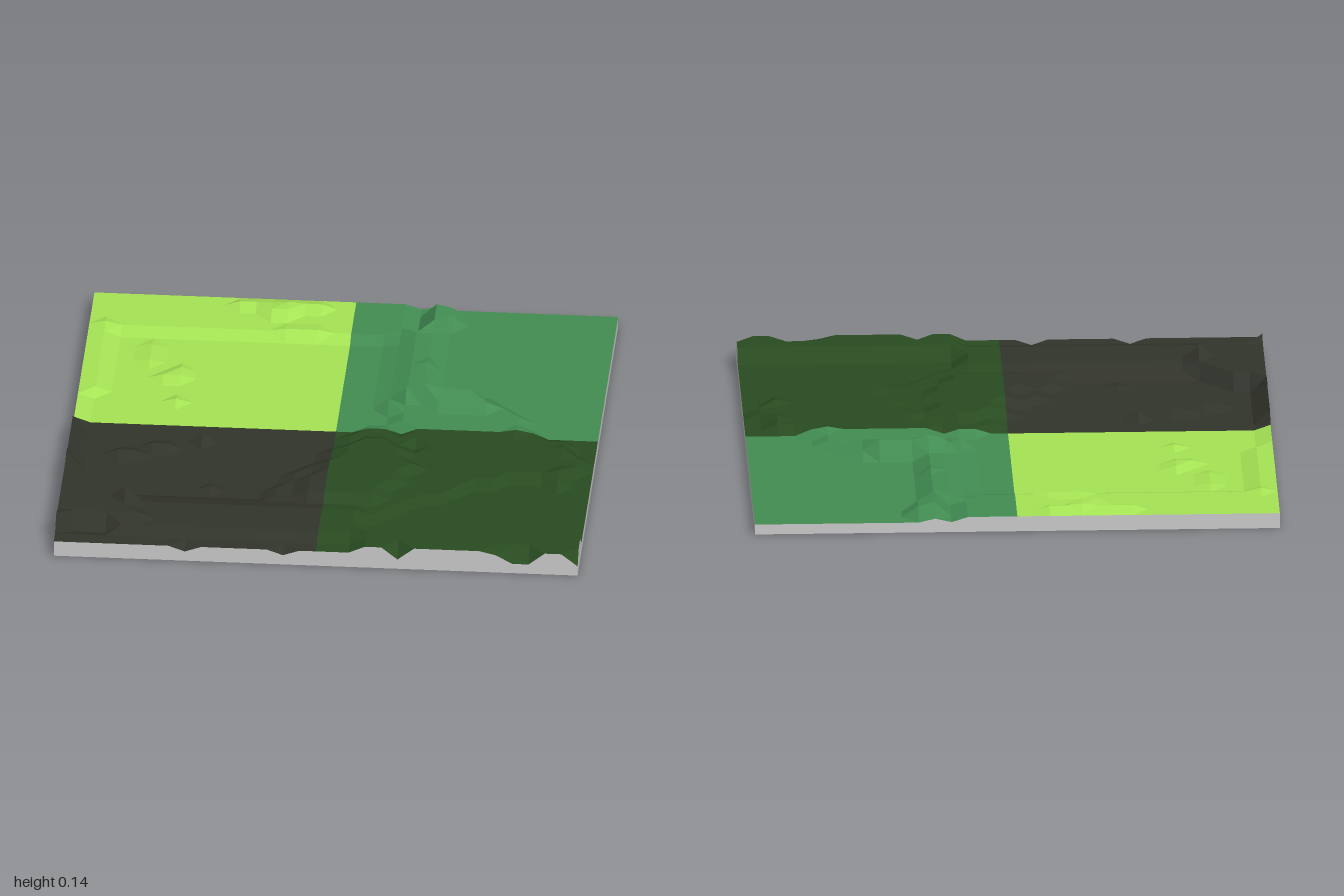
import * as THREE from 'three';

const N = 32, HX = 1, HZ = 0.985;
const X = (i) => -HX + (2 * HX * i) / N;
const Z = (j) => -HZ + (2 * HZ * j) / N;
const FLOOR = 0.04;
const heights = Array.from({ length: N + 1 }, () => new Array(N + 1).fill(FLOOR));

// Set every grid point inside an outline of [x, z] corners
function plateau(h, outline) {
  for (let j = 0; j <= N; j++) {
    for (let i = 0; i <= N; i++) {
      let hit = false;
      outline.forEach(([ax, az], k) => {
        const [bx, bz] = outline[(k + 1) % outline.length];
        if (az > Z(j) !== bz > Z(j) && X(i) < ax + ((Z(j) - az) * (bx - ax)) / (bz - az)) hit = !hit;
      });
      if (hit) heights[j][i] = h;
    }
  }
}

const strip = (h, x0, x1, z0, z1) => plateau(h, [[x0, z0], [x1, z0], [x1, z1], [x0, z1]]);

// Set the grid points along a line, or one point when the end is left out
function ridge(h, x0, z0, x1 = x0, z1 = z0) {
  for (let k = 0; k <= N; k++) {
    const x = x0 + ((x1 - x0) * k) / N, z = z0 + ((z1 - z0) * k) / N;
    heights[Math.round(((z + HZ) / (2 * HZ)) * N)][Math.round(((x + HX) / (2 * HX)) * N)] = h;
  }
}

function shapeMeadow() {
  strip(0.06, -1.1, 0.22, -1, -0.72); // back strip
  strip(0.062, -1.1, -0.92, -0.76, -0.2); // side rim
  strip(0.062, -1.1, -0.97, -0.2, 0.42);
  ridge(0.08, -0.44, -0.92, -0.12, -0.92); // back bumps
  ridge(0.087, -0.31, -0.86, -0.25, -0.92);
  ridge(0.07, -0.25, -0.74, -0.12, -0.74);
  ridge(0.075, -0.94, -0.74);
  ridge(0.057, -0.69, -0.37, -0.62, -0.43); // small mounds
  ridge(0.05, -0.75, -0.49, -0.75, -0.62);
  ridge(0.055, -0.62, -0.18);
}

function shapeTeal() {
  strip(0.055, 0.15, 0.22, -0.76, -0.2); // slope beside the ridge
  strip(0.075, 0.22, 0.34, -0.76, -0.2);
  ridge(0.1, 0.31, -0.92, 0.31, -0.8);
  ridge(0.085, 0.37, -0.92, 0.37, -0.86);
  ridge(0.055, 0.31, -0.985);
  ridge(0.085, 0.31, -0.5);
}

function shapeForest() {
  plateau(0.06, [[-0.22, 0.5], [-0.02, 0.2], [0.03, 0.03], [0.2, -0.03], [0.36, 0.2], [0.5, 0.45],
    [0.2, 0.68], [-0.22, 0.68]]); // foot of the rise
  plateau(0.085, [[-0.1, 0.48], [0.1, 0.1], [0.22, 0.1], [0.34, 0.3], [0.15, 0.66], [-0.1, 0.68]]);
  plateau(0.066, [[0.22, -0.06], [0.22, -0.2], [0.3, -0.28], [0.56, -0.28], [0.8, 0], [0.93, 0.1],
    [0.95, 0.28], [0.86, 0.39], [0.74, 0.33], [0.5, 0.46], [0.34, 0.13]]); // terrace
  ridge(0.11, 0.25, -0.25, 0.5, -0.25); // terrace crest
  ridge(0.13, 0.31, -0.25);
  ridge(0.09, 0.37, -0.18, 0.56, -0.18);
  ridge(0.09, 0.19, -0.18);
  ridge(0.078, 0.69, 0);
  ridge(0.077, 0.87, 0.12);
  ridge(0.08, 0.87, 0.31);
}

function shapeDark() {
  strip(0.065, -0.8, 0.18, 0.58, 0.88); // front ridge
  strip(0.08, -0.8, 0.18, 0.66, 0.88);
  plateau(0.1, [[-1.1, 0.4], [-0.94, 0.43], [-0.74, 0.62], [-0.68, 0.8], [-0.85, 0.84], [-1.1, 0.9]]); // corner hill
  ridge(0.1, -1, 0.06, -1, 0.31); // edge bumps
  ridge(0.12, -1, 0.37);
  ridge(0.12, -1, 0.86);
  ridge(0.145, -0.75, 0.68); // hilltop
  ridge(0.1, -0.69, 0.8);
  ridge(0.08, -0.5, 0.12); // small mounds
  ridge(0.063, -0.81, 0.25, -0.62, 0.18);
  ridge(0.055, -0.44, 0.49);
}

function shapeFrontEdge() {
  strip(0.062, -1.1, 0.15, 0.89, 1.1);
  strip(0.09, 0.16, 1.1, 0.86, 1.1);
  ridge(0.075, 0.69, 0.985);
  for (const x of [-0.5, -0.125, 0.31, 0.75, 0.81, 1]) ridge(FLOOR, x, 0.985); // notches
}

// Each quad is split along its more level diagonal
function meshFromQuads(name, quads, color) {
  const pos = [];
  for (const [a, b, c, d] of quads) {
    if (Math.abs(a[1] - c[1]) <= Math.abs(b[1] - d[1])) pos.push(...a, ...b, ...c, ...a, ...c, ...d);
    else pos.push(...a, ...b, ...d, ...b, ...c, ...d);
  }
  const geo = new THREE.BufferGeometry();
  geo.setAttribute('position', new THREE.Float32BufferAttribute(pos, 3));
  geo.computeVertexNormals();
  const mesh = new THREE.Mesh(geo, new THREE.MeshStandardMaterial({ color, flatShading: true }));
  mesh.name = name;
  return mesh;
}

export function createModel() {
  const group = new THREE.Group();
  group.name = 'terrainTile';
  for (const shape of [shapeMeadow, shapeTeal, shapeForest, shapeDark, shapeFrontEdge]) shape();
  const P = (i, j) => [X(i), heights[j][i], Z(j)];
  const G = (i, j) => [X(i), 0, Z(j)];
  const half = N / 2;

  // Four coloured quarters of the ground
  const quarters = [
    ['meadowGround', 0, 0, 0xa5e354],
    ['tealGround', half, 0, 0x428c52],
    ['darkGround', 0, half, 0x31342b],
    ['forestGround', half, half, 0x294b21],
  ];
  for (const [name, i0, j0, color] of quarters) {
    const quads = [];
    for (let j = j0; j < j0 + half; j++) {
      for (let i = i0; i < i0 + half; i++) {
        quads.push([P(i, j), P(i, j + 1), P(i + 1, j + 1), P(i + 1, j)]);
      }
    }
    group.add(meshFromQuads(name, quads, color));
  }

  // Side walls follow the ground's edge
  const walls = [];
  for (let k = 0; k < N; k++) {
    walls.push([G(k, N), G(k + 1, N), P(k + 1, N), P(k, N)]);
    walls.push([G(k + 1, 0), G(k, 0), P(k, 0), P(k + 1, 0)]);
    walls.push([G(N, k + 1), G(N, k), P(N, k), P(N, k + 1)]);
    walls.push([G(0, k), G(0, k + 1), P(0, k + 1), P(0, k)]);
  }
  group.add(meshFromQuads('sideWalls', walls, 0xcccccc));

  // Flat underside
  group.add(meshFromQuads('underside', [[G(0, 0), G(N, 0), G(N, N), G(0, N)]], 0xcccccc));
  return group;
}
